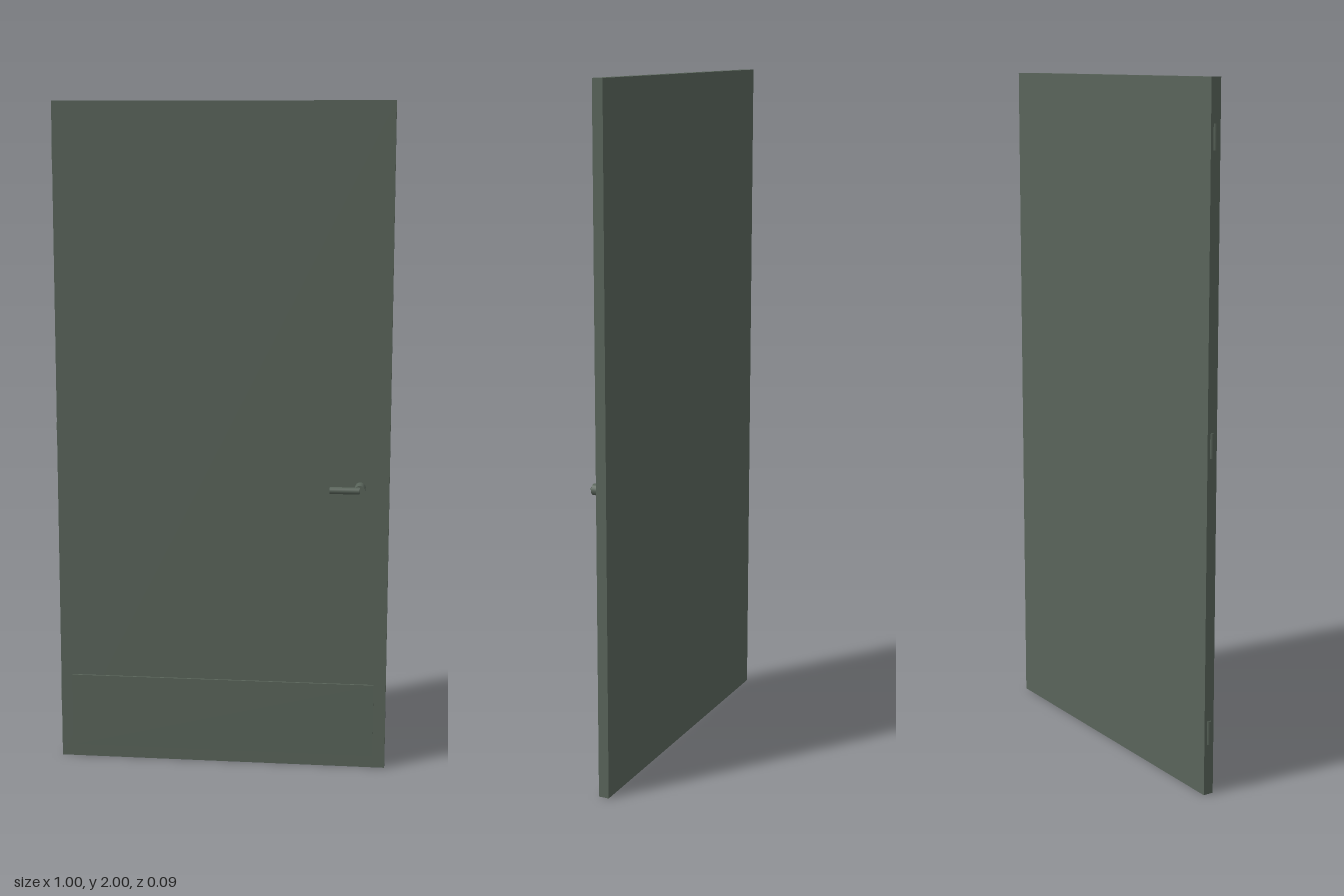
import * as THREE from 'three';

export function createModel() {
  const model = new THREE.Group();
  model.name = 'door';
  const paint = new THREE.MeshStandardMaterial({ color: 0x59645a });
  paint.name = 'grey green paint';

  const add = (name, geometry, x, y, z) => {
    const mesh = new THREE.Mesh(geometry, paint);
    mesh.name = name;
    mesh.position.set(x, y, z);
    model.add(mesh);
    return mesh;
  };

  // Door leaf and the kick plate, held just off its front face
  add('doorLeaf', new THREE.BoxGeometry(0.998, 2, 0.031), 0.001, 1, -0.0315);
  add('kickPlate', new THREE.BoxGeometry(0.925, 0.226, 0.006), 0.001, 0.152, -0.009);

  // Handle: a spindle out of the leaf and a lever turned towards the hinges
  const spindle = add('handleSpindle', new THREE.CylinderGeometry(0.016, 0.016, 0.049, 16), 0.414, 0.875, 0.0125);
  spindle.rotation.x = Math.PI / 2;
  const lever = add('handleLever', new THREE.CylinderGeometry(0.0105, 0.0105, 0.088, 12), 0.37, 0.875, 0.0365);
  lever.rotation.z = Math.PI / 2;

  // Hinge knuckles along the left edge of the front view
  for (const y of [0.185, 1.015, 1.845]) {
    add('hinge', new THREE.CylinderGeometry(0.008, 0.008, 0.07, 12), -0.494, y, -0.0315);
  }
  return model;
}
